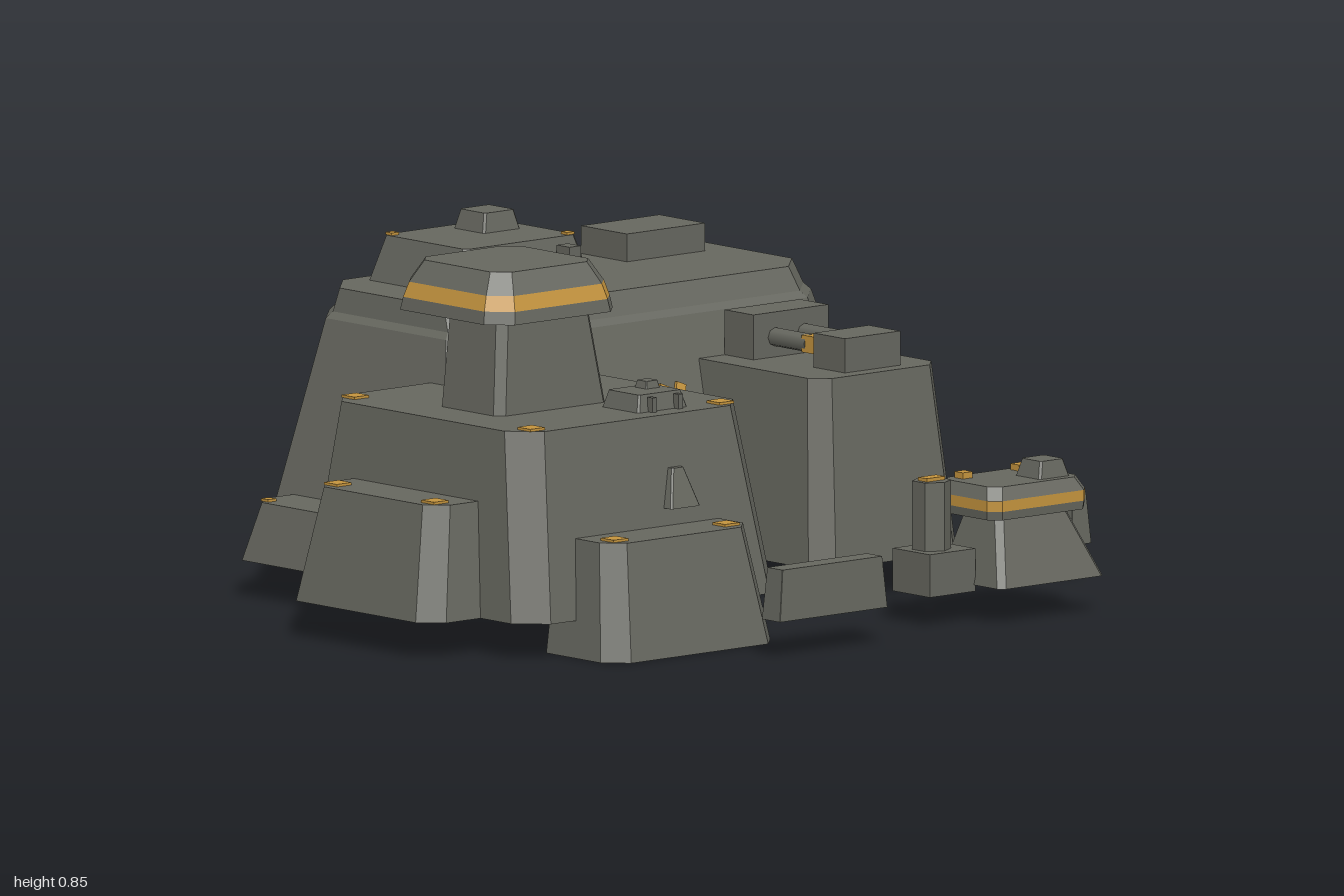
import * as THREE from 'three';

const armour = new THREE.MeshStandardMaterial({ color: 0x66675f, side: THREE.DoubleSide });
armour.name = 'grey armour';
const amber = new THREE.MeshStandardMaterial({ color: 0xc4943e, side: THREE.DoubleSide });
amber.name = 'amber marking';

// Corner points of a rectangle with cut corners, counter-clockwise from above
function outline([y, x0, x1, z0, z1, c]) {
  return [[x1, z1 - c], [x1, z0 + c], [x1 - c, z0], [x0 + c, z0],
    [x0, z0 + c], [x0, z1 - c], [x0 + c, z1], [x1 - c, z1]].map(([x, z]) => [x, y, z]);
}

// Tapered block from rings [y, x0, x1, z0, z1, cornerCut]; one band may be amber
function block(parent, name, rings, { band = -1, closed = false } = {}) {
  const loops = rings.map(outline);
  const pos = [];
  const geo = new THREE.BufferGeometry();
  const tri = (...points) => points.forEach((p) => pos.push(...p));
  for (let r = 0; r < loops.length - 1; r++) {
    const low = loops[r], high = loops[r + 1];
    for (let i = 0; i < 8; i++) {
      const j = (i + 1) % 8;
      tri(low[i], low[j], high[j]);
      tri(low[i], high[j], high[i]);
    }
    geo.addGroup(r * 48, 48, r === band ? 1 : 0);
  }
  const capStart = pos.length / 3;
  const top = loops[loops.length - 1], bottom = loops[0];
  for (let i = 1; i < 7; i++) {
    tri(top[0], top[i], top[i + 1]);
    if (closed) tri(bottom[0], bottom[i + 1], bottom[i]);
  }
  geo.addGroup(capStart, pos.length / 3 - capStart, 0);
  geo.setAttribute('position', new THREE.Float32BufferAttribute(pos, 3));
  geo.computeVertexNormals();
  const mesh = new THREE.Mesh(geo, band < 0 ? armour : [armour, amber]);
  mesh.name = name;
  parent.add(mesh);
  return mesh;
}

function box(parent, name, mat, w, h, d, x, y, z) {
  const mesh = new THREE.Mesh(new THREE.BoxGeometry(w, h, d), mat);
  mesh.name = name;
  mesh.position.set(x, y, z);
  parent.add(mesh);
  return mesh;
}

// Ring given by centre and half sizes
const ring = (y, x, z, hx, hz, c) => [y, x - hx, x + hx, z - hz, z + hz, c];

// Thin amber plate on a roof
function marker(parent, x, y, z, s = 0.045) {
  box(parent, 'cornerMarker', amber, s, 0.006, s, x, y + 0.003, z);
}

// Low roof cupola with hatch and two stubby posts
function cupola(parent, x, y, z, s) {
  const g = new THREE.Group();
  g.name = 'cupola';
  g.position.set(x, y, z);
  g.scale.setScalar(s);
  parent.add(g);
  block(g, 'cupolaBody', [ring(0, 0, 0, 0.2, 0.17, 0.012), ring(0.105, 0, 0, 0.17, 0.145, 0.012)]);
  block(g, 'cupolaHatch', [ring(0.1, 0.07, -0.055, 0.058, 0.055, 0.005), ring(0.15, 0.07, -0.055, 0.045, 0.045, 0.005)]);
  for (const px of [-0.1, 0.11]) box(g, 'cupolaPost', armour, 0.035, 0.09, 0.045, px, 0.045, 0.185);
  if (s === 1) for (const [mx, mz] of [[-0.155, -0.13], [0.155, -0.13], [0.155, 0.13]]) marker(g, mx, 0.105, mz, 0.022);
}

export function createModel() {
  const model = new THREE.Group();
  model.name = 'fortress';
  const base = new THREE.Group();
  base.name = 'compound';
  base.rotation.y = Math.PI / 6; // whole compound stands turned on its plot
  model.add(base);

  // Main hall with stepped roof edge
  block(base, 'mainHall', [
    [0.085, -0.654, 0.728, -0.78, 0.058, 0.1],
    [0.62, -0.515, 0.605, -0.705, -0.105, 0.09],
    [0.635, -0.5, 0.59, -0.692, -0.12, 0.085],
    [0.69, -0.49, 0.577, -0.68, -0.145, 0.085]]);
  cupola(base, -0.164, 0.69, -0.476, 1);
  box(base, 'roofVent', armour, 0.24, 0.065, 0.16, 0.375, 0.7225, -0.52);

  // Gate panel and hazard stripes lying on the sloping front wall
  const gate = new THREE.Group();
  gate.name = 'gate';
  gate.position.set(0, 0.085, 0.058);
  gate.rotation.x = -0.295;
  base.add(gate);
  box(gate, 'gatePanel', armour, 0.19, 0.35, 0.03, 0.005, 0.175, 0);
  for (let i = 0; i < 4; i++) {
    box(gate, 'hazardStripe', amber, 0.028, 0.04, 0.008, -0.075 + i * 0.05, 0.385, 0.004).rotation.z = -0.4;
  }

  // Command tower
  block(base, 'towerBase', [
    [0.085, -0.92, -0.12, -0.275, 0.56, 0.065],
    [0.52, -0.87, -0.17, -0.22, 0.48, 0.065]]);
  for (const [x, z] of [[-0.81, -0.175], [-0.81, 0.44], [-0.23, 0.44]]) marker(base, x, 0.52, z);
  block(base, 'towerNeck', [
    ring(0.52, -0.576, 0.145, 0.17, 0.11, 0.02),
    ring(0.74, -0.576, 0.13, 0.14, 0.1, 0.02)]);
  block(base, 'towerHead', [
    ring(0.735, -0.575, 0.085, 0.197, 0.197, 0.05),
    ring(0.765, -0.575, 0.085, 0.192, 0.192, 0.05),
    ring(0.8, -0.575, 0.085, 0.18, 0.18, 0.045),
    ring(0.85, -0.575, 0.085, 0.15, 0.15, 0.035)], { band: 1, closed: true });
  cupola(base, -0.394, 0.52, 0.362, 0.38);
  block(base, 'wallHood', [
    ring(0.31, -0.427, 0.5, 0.045, 0.045, 0.004),
    ring(0.4, -0.427, 0.5, 0.018, 0.018, 0.004)], { closed: true });

  // Side bunkers
  block(base, 'rearBunker', [[0.085, -0.785, -0.55, -0.645, -0.28, 0.045], [0.22, -0.75, -0.52, -0.61, -0.315, 0.04]]);
  for (const z of [-0.575, -0.35]) marker(base, -0.725, 0.22, z, 0.025);
  block(base, 'leftBunker', [[0.085, -1.075, -0.8, -0.13, 0.388, 0.05], [0.35, -1.02, -0.8, -0.09, 0.345, 0.045]]);
  for (const z of [-0.045, 0.295]) marker(base, -0.978, 0.35, z);
  block(base, 'frontBunker', [[0, -0.79, -0.27, 0.42, 0.71, 0.05], [0.27, -0.75, -0.31, 0.42, 0.655, 0.045]]);
  for (const x of [-0.702, -0.36]) marker(base, x, 0.27, 0.608);

  // Gun bunker with twin cannon
  block(base, 'gunBunker', [[0.085, 0.118, 0.57, -0.1, 0.396, 0.045], [0.52, 0.155, 0.535, -0.12, 0.345, 0.04]]);
  box(base, 'gunBreech', armour, 0.23, 0.105, 0.1, 0.35, 0.5725, -0.025);
  box(base, 'gunRest', armour, 0.17, 0.08, 0.11, 0.355, 0.56, 0.25);
  for (const x of [0.302, 0.392]) {
    const tube = new THREE.CylinderGeometry(0.022, 0.022, 0.15, 8).rotateX(Math.PI / 2);
    const barrel = new THREE.Mesh(tube, armour);
    barrel.name = 'gunBarrel';
    barrel.position.set(x, 0.567, 0.075);
    base.add(barrel);
    box(base, 'gunMuzzle', amber, 0.035, 0.04, 0.055, x, 0.567, 0.165);
  }

  // Guard post with banded head
  block(base, 'postBase', [[0.085, 0.25, 0.572, 0.64, 0.875, 0.015], [0.25, 0.29, 0.5, 0.69, 0.82, 0.015]]);
  block(base, 'postHead', [
    ring(0.245, 0.385, 0.755, 0.148, 0.11, 0.025),
    ring(0.265, 0.385, 0.755, 0.15, 0.112, 0.025),
    ring(0.29, 0.385, 0.755, 0.15, 0.112, 0.025),
    ring(0.32, 0.385, 0.755, 0.135, 0.095, 0.025)], { band: 1, closed: true });
  block(base, 'postHatch', [ring(0.315, 0.455, 0.785, 0.048, 0.045, 0.005), ring(0.36, 0.455, 0.785, 0.035, 0.035, 0.005)]);
  for (const x of [0.296, 0.468]) box(base, 'postLamp', amber, 0.03, 0.025, 0.03, x, 0.322, 0.69);

  // Signal mast beside the guard post
  box(base, 'mastFoot', armour, 0.14, 0.1, 0.13, 0.185, 0.12, 0.714);
  const mast = new THREE.Mesh(new THREE.CylinderGeometry(0.046, 0.046, 0.18, 6).toNonIndexed(), armour);
  mast.geometry.computeVertexNormals();
  mast.name = 'mast';
  mast.position.set(0.177, 0.24, 0.714);
  base.add(mast);
  box(base, 'mastLamp', amber, 0.055, 0.008, 0.03, 0.177, 0.334, 0.714);

  // Free-standing barriers
  for (const [x, z, hx, hz] of [[0.824, -0.261, 0.032, 0.165], [0.82, 0.339, 0.032, 0.165], [-0.274, 0.855, 0.165, 0.032]]) {
    block(base, 'barrier', [
      ring(0.085, x, z, hx, hz, 0.001),
      ring(0.205, x, z, hx - 0.012, hz - 0.005, 0.001)], { closed: true });
  }
  return model;
}
